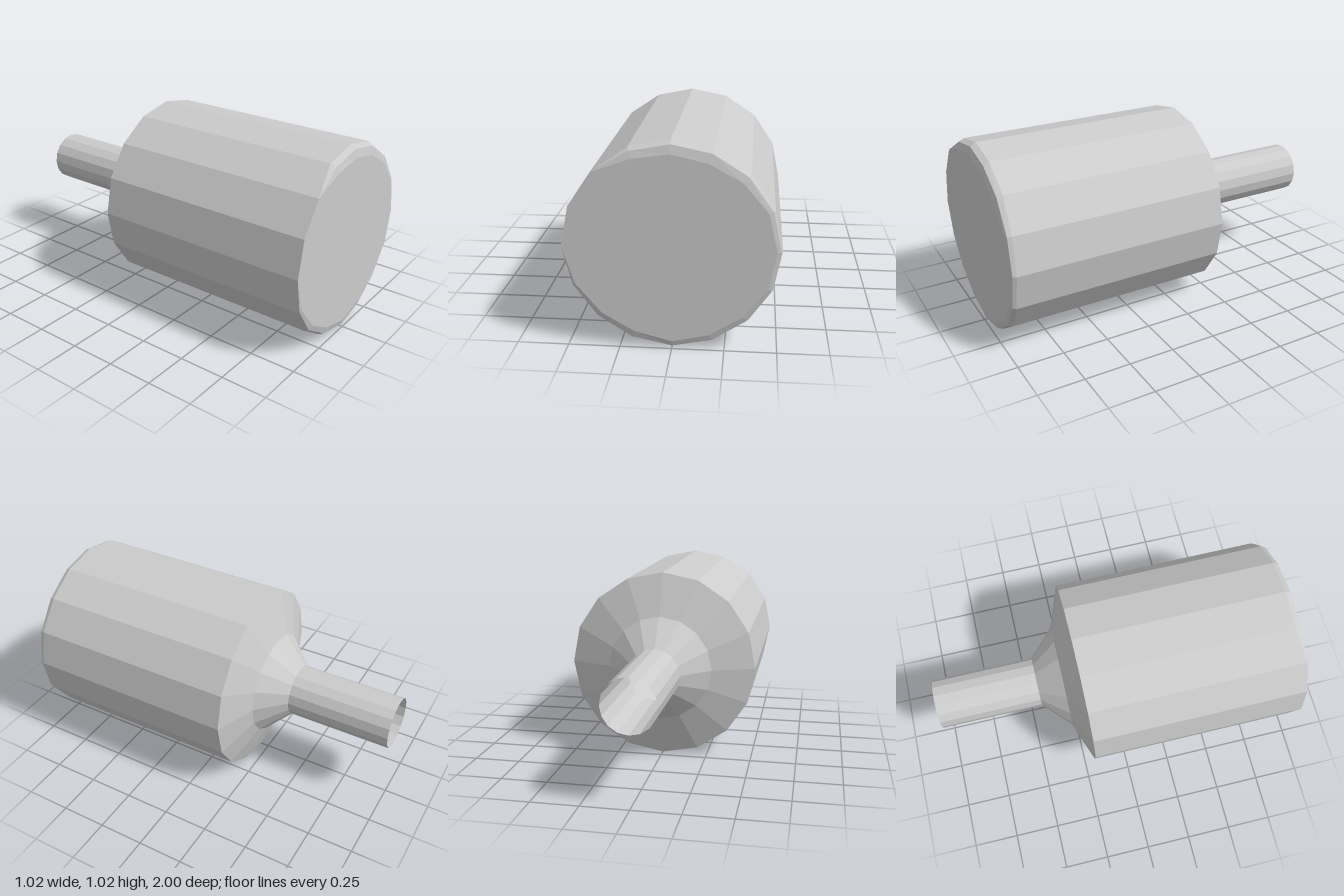
import * as THREE from 'three';

const SIDES = 16;
const RADIUS = 0.5125;
const CENTRE_Y = 0.516;

// Width of the worn front rim at each corner, clockwise from the top (0 = sharp)
const RIM = [0.06, 0.065, 0.05, 0.03, 0.025, 0.025, 0.04, 0.045,
  0.04, 0.05, 0.04, 0.02, 0, 0, 0, 0.05];

export function createModel() {
  const group = new THREE.Group();
  const material = new THREE.MeshStandardMaterial({
    color: 0xcccccc, flatShading: true, side: THREE.DoubleSide,
  });

  // Faceted ring surface along z from [radius, z] pairs, listed front to back
  function turned(name, profile, reshape) {
    const points = profile.map(([r, z]) => new THREE.Vector2(r, -z));
    const lathe = new THREE.LatheGeometry(points, SIDES);
    lathe.rotateX(-Math.PI / 2);
    if (reshape) reshape(lathe.attributes.position, profile.length);
    const geometry = lathe.toNonIndexed();
    geometry.computeVertexNormals();
    const mesh = new THREE.Mesh(geometry, material);
    mesh.name = name;
    mesh.position.y = CENTRE_Y;
    group.add(mesh);
  }

  // Drum with a closed front; the rim rings are pulled in by the local rim width
  turned('drum', [[0, 1], [RADIUS, 1], [RADIUS, 1], [RADIUS, 1], [RADIUS, -0.2]], (pos, rows) => {
    const inset = [0, 1, 0.28, 0];
    const depth = [0, 0, 0.25, 1];
    for (let i = 0; i <= SIDES; i++) {
      const width = RIM[i % SIDES];
      const angle = (i / SIDES) * Math.PI * 2;
      for (let j = 1; j <= 3; j++) {
        const r = RADIUS - width * inset[j];
        const z = 1 - Math.min(width, 0.04) * depth[j];
        pos.setXYZ(i * rows + j, Math.sin(angle) * r, Math.cos(angle) * r, z);
      }
    }
  });

  // Two-step taper behind the drum
  turned('shoulder', [[RADIUS, -0.2], [0.285, -0.285], [0.14, -0.427]]);

  // Open pipe at the back
  turned('pipe', [[0.14, -0.427], [0.14, -1]]);

  return group;
}
